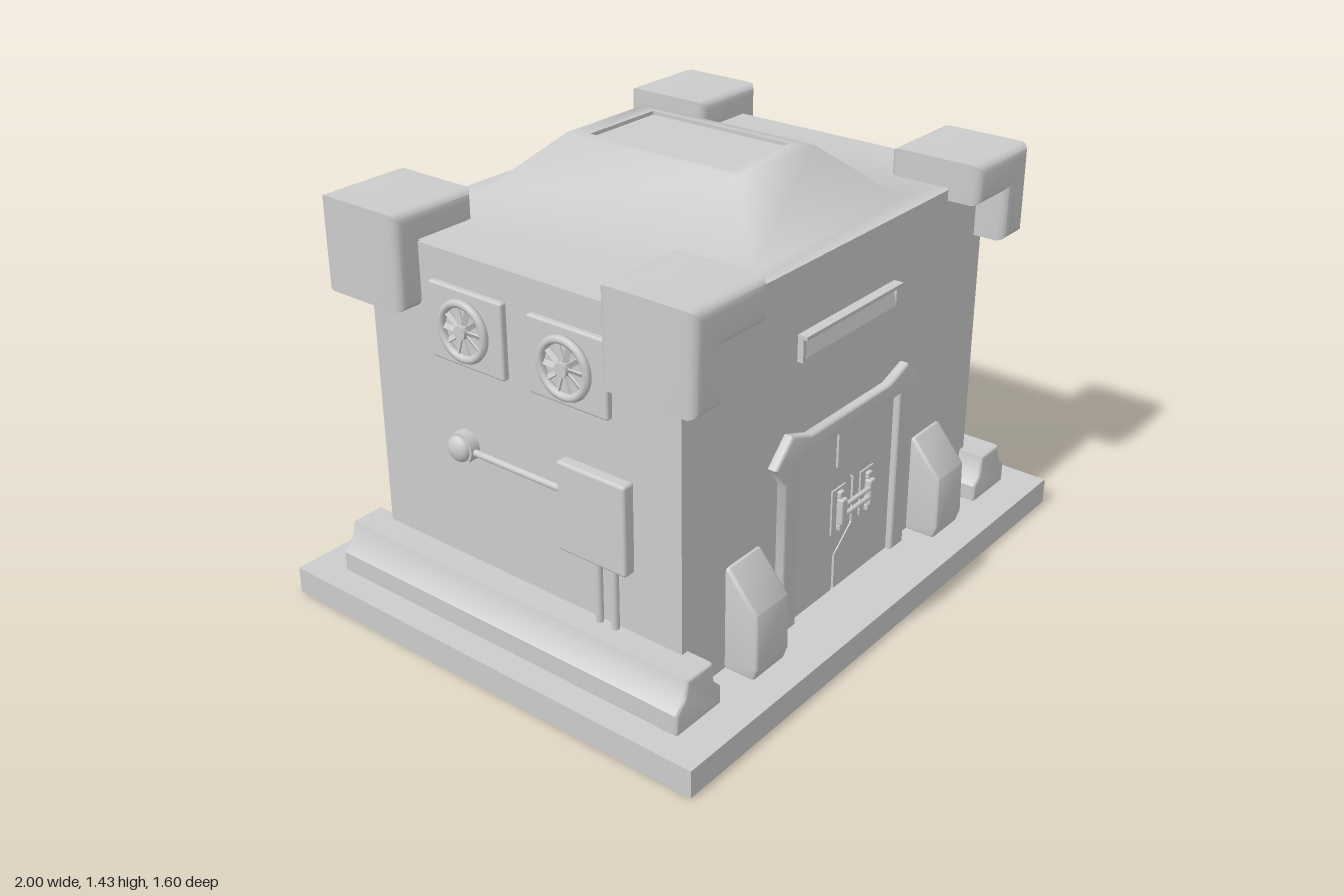
import * as THREE from 'three';
import { toCreasedNormals } from 'three/addons/utils/BufferGeometryUtils.js';
import { RoundedBoxGeometry } from 'three/addons/geometries/RoundedBoxGeometry.js';

const material = new THREE.MeshStandardMaterial({ color: 0xcccccc });

function add(parent, name, geometry, x = 0, y = 0, z = 0) {
  const mesh = new THREE.Mesh(geometry, material);
  mesh.name = name;
  mesh.position.set(x, y, z);
  parent.add(mesh);
  return mesh;
}
const box = (w, h, d) => new THREE.BoxGeometry(w, h, d);
const rounded = (w, h, d, r) => new RoundedBoxGeometry(w, h, d, 3, r);
const rod = (r, length) => new THREE.CylinderGeometry(r, r, length, 16);
const outline = pts => new THREE.Shape(pts.map(p => new THREE.Vector2(...p)));
const rect = (w, h) => [[-w / 2, -h / 2], [w / 2, -h / 2], [w / 2, h / 2], [-w / 2, h / 2]];

// Extrusion from z = 0 to depth whose bevel stays inside the outline
function slab(pts, depth, bevel = 0, hole = null) {
  const shape = outline(pts);
  if (hole) shape.holes.push(new THREE.Path(hole.map(p => new THREE.Vector2(...p))));
  const g = new THREE.ExtrudeGeometry(shape, {
    depth: depth - 2 * bevel, bevelEnabled: bevel > 0, bevelThickness: bevel,
    bevelSize: bevel, bevelOffset: -bevel, bevelSegments: 3,
  });
  g.translate(0, 0, bevel);
  return toCreasedNormals(g, 0.7);
}

// Smooth surface through stacked rectangles [halfX, halfZ, y]
function rectLoft(rings) {
  const pos = [], index = [];
  for (const [x, z, y] of rings) pos.push(-x, y, z, x, y, z, x, y, -z, -x, y, -z);
  for (let r = 0; r < rings.length - 1; r++) {
    for (let i = 0; i < 4; i++) {
      const a = r * 4 + i, b = r * 4 + (i + 1) % 4;
      index.push(a, b, b + 4, a, b + 4, a + 4);
    }
  }
  const g = new THREE.BufferGeometry();
  g.setAttribute('position', new THREE.Float32BufferAttribute(pos, 3));
  g.setIndex(index);
  g.computeVertexNormals();
  return g;
}

// Wall fittings are modelled facing +z with their back on z = 0
function fitting(parent, name, x, y, z, turn = 0) {
  const g = new THREE.Group();
  g.name = name;
  g.position.set(x, y, z);
  g.rotation.y = turn;
  parent.add(g);
  return g;
}

function fan(g) {
  add(g, 'fanPlate', rounded(0.29, 0.24, 0.025, 0.008), 0, 0, 0.012);
  add(g, 'fanRing', new THREE.TorusGeometry(0.085, 0.013, 8, 32), 0, 0, 0.035);
  add(g, 'fanHub', rod(0.022, 0.03), 0, 0, 0.035).rotation.x = Math.PI / 2;
  for (let i = 0; i < 10; i++) {
    const blade = add(g, 'fanBlade', box(0.065, 0.016, 0.005).translate(0.05, 0, 0), 0, 0, 0.034);
    blade.rotation.set(0.5, 0, i * Math.PI / 5, 'ZYX');
  }
}

function louvre(g) {
  add(g, 'ventFrame', slab(rect(0.295, 0.42), 0.016, 0, rect(0.272, 0.395)));
  for (let i = 0; i < 13; i++)
    add(g, 'ventSlat', box(0.272, 0.031, 0.004), 0, -0.18 + i * 0.03, 0.008).rotation.x = -0.4;
}

function slotWindow(g) {
  add(g, 'slotFrame', slab(rect(0.505, 0.085), 0.02, 0, rect(0.475, 0.06)));
  add(g, 'slotHood', box(0.505, 0.012, 0.033), 0, 0.0365, 0.0165);
  add(g, 'slotPane', box(0.475, 0.065, 0.006), 0, 0, 0.01).rotation.x = -0.25;
}

function handle(g) {
  for (const s of [-1, 1]) {
    add(g, 'handlePlate', box(0.072, 0.155, 0.006), s * 0.078, 0, 0.003);
    add(g, 'handleGrip', rounded(0.03, 0.09, 0.025, 0.006), s * 0.078, 0, 0.018);
    for (const t of [-1, 1])
      add(g, 'handleBolt', rounded(0.024, 0.024, 0.016, 0.005), s * 0.078, t * 0.057, 0.012);
  }
  for (const t of [-1, 1])
    add(g, 'handleBar', rod(0.008, 0.17), 0, t * 0.016, 0.022).rotation.z = Math.PI / 2;
}

export function createModel() {
  const model = new THREE.Group();
  model.name = 'bunker';

  // Slab, walls and raised roof
  add(model, 'baseSlab', box(2, 0.09, 1.6), 0, 0.045, 0);
  add(model, 'walls', box(1.55, 1.155, 1.18), 0, 0.6675, 0);
  add(model, 'roof', rectLoft([[0.775, 0.59, 1.25], [0.38, 0.52, 1.25], [0.185, 0.33, 1.43],
    [0.15, 0.265, 1.43]]));
  add(model, 'roofRecess', toCreasedNormals(rectLoft([[0.15, 0.265, 1.43], [0.15, 0.265, 1.418],
    [0, 0, 1.418]]), 0.5));

  for (const s of [-1, 1]) {
    const mirror = pts => pts.map(([x, y]) => [s * x, y]);
    // L-section corner caps
    const cap = slab(mirror([[0.545, 1.21], [0.73, 1.21], [0.73, 1.04], [0.855, 1.04],
      [0.855, 1.34], [0.545, 1.34]]), 0.325, 0.03);
    for (const z of [-0.7, 0.375]) add(model, 'cornerCap', cap, 0, 0, z);

    // Moulded kerbs along the sides
    add(model, 'sideKerb', slab(mirror([[0.71, 0.085], [0.71, 0.145], [0.74, 0.175], [0.75, 0.245],
      [0.86, 0.245], [0.875, 0.19], [0.91, 0.155], [0.91, 0.085]]), 1.36, 0.01), 0, 0, -0.68);

    // Sloped buttresses, front and back
    for (const t of [-1, 1]) {
      const g = slab([[0.57, 0.085], [0.69, 0.085], [0.705, 0.13], [0.7, 0.31], [0.6, 0.43],
        [0.57, 0.43]].map(([z, y]) => [t * z, y]), 0.16, 0.012);
      g.translate(0, 0, -0.08).rotateY(-Math.PI / 2);
      add(model, 'buttress', g, s * 0.497, 0, 0);
    }
  }

  // Front door: surround, two interlocking leaves and handle
  const front = fitting(model, 'frontDoor', 0, 0, 0.59);
  const half = [[0.27, 0.09], [0.34, 0.09], [0.34, 0.6], [0.39, 0.67], [0.31, 0.75], [0.21, 0.715]];
  const flip = pts => pts.map(([x, y]) => [-x, y]).reverse();
  add(front, 'doorSurround', slab([...half, ...flip(half), [-0.27, 0.655], [0.27, 0.655]], 0.035, 0.008));
  const seam = [[-0.04, 0.09], [-0.04, 0.215], [0.05, 0.29], [0.05, 0.455], [-0.04, 0.52], [-0.04, 0.66]];
  for (const s of [-1, 1])
    add(front, 'doorLeaf', slab([[s * 0.275, 0.09], ...seam.map(([x, y]) => [x + s * 0.006, y]),
      [s * 0.275, 0.66]], 0.012));
  handle(fitting(front, 'doorHandle', 0.048, 0.375, 0.012));

  // Slot windows over both doors
  slotWindow(fitting(model, 'frontSlotWindow', 0, 0.9975, 0.59));
  slotWindow(fitting(model, 'backSlotWindow', 0, 0.9, -0.59, Math.PI));

  // Left wall: louvred vents and a small lamp
  for (const z of [0.2775, -0.2325])
    louvre(fitting(model, 'louvredVent', 0.775, 0.61, z, Math.PI / 2));
  const lamp = fitting(model, 'wallLamp', 0.775, 1.128, 0.02, Math.PI / 2);
  add(lamp, 'lampPlate', box(0.165, 0.075, 0.008), 0, 0, 0.004);
  add(lamp, 'lampTube', rod(0.02, 0.08), 0, 0, 0.02).rotation.z = Math.PI / 2;
  for (const s of [-1, 1]) add(lamp, 'lampClip', box(0.014, 0.035, 0.02), s * 0.052, 0, 0.012);

  // Right wall: fans, gauge, switch box and conduits
  for (const z of [-0.175, 0.21])
    fan(fitting(model, 'wallFan', -0.775, 1.03, z, -Math.PI / 2));
  const meter = fitting(model, 'meter', -0.775, 0, 0, -Math.PI / 2);
  add(meter, 'switchBox', rounded(0.25, 0.29, 0.045, 0.01), 0.3, 0.595, 0.022);
  add(meter, 'gauge', rod(0.05, 0.035), -0.22, 0.64, 0.0175).rotation.x = Math.PI / 2;
  add(meter, 'gaugeDome', new THREE.SphereGeometry(0.042, 20, 12).scale(1, 1, 0.6), -0.22, 0.64, 0.035);
  add(meter, 'gaugePipe', rod(0.011, 0.4), -0.02, 0.635, 0.018).rotation.z = Math.PI / 2;
  for (const x of [0.3, 0.36]) add(meter, 'conduit', rod(0.012, 0.38), x, 0.28, 0.015);

  // Back wall: fan, junction boxes and conduit
  fan(fitting(model, 'backFan', 0.48, 1.04, -0.59, Math.PI));
  const boxes = fitting(model, 'junctionBoxes', 0, 0, -0.59, Math.PI);
  add(boxes, 'upperBox', rounded(0.165, 0.22, 0.03, 0.008), 0.53, 0.95, 0.015);
  add(boxes, 'lowerBox', rounded(0.24, 0.27, 0.035, 0.008), 0.56, 0.665, 0.017);
  for (const x of [0.5, 0.53]) add(boxes, 'conduit', rod(0.011, 0.8), x, 0.49, 0.014);

  // Back porch: rounded housing with barred double door
  const porch = fitting(model, 'backPorch', 0, 0, -0.57, Math.PI);
  add(porch, 'porchHousing', slab([[-0.345, 0.085], [-0.24, 0.085], [-0.24, 0.61], [0.24, 0.61],
    [0.24, 0.085], [0.345, 0.085], [0.345, 0.725], [-0.345, 0.725]], 0.185, 0.03));
  add(porch, 'porchBackPanel', box(0.5, 0.54, 0.02), 0, 0.35, 0.1);
  for (const s of [-1, 1]) {
    add(porch, 'gateLeaf', slab(rect(0.222, 0.51), 0.025, 0, rect(0.172, 0.45)), s * 0.115, 0.345, 0.135);
    add(porch, 'gateUpright', box(0.012, 0.46, 0.012), s * 0.115, 0.345, 0.142);
    for (let i = 0; i < 7; i++)
      add(porch, 'gateBar', box(0.18, 0.016, 0.014), s * 0.115, 0.165 + i * 0.06, 0.148);
  }
  const gateHandle = fitting(porch, 'gateHandle', 0.01, 0.38, 0.16);
  gateHandle.scale.set(0.65, 1, 1.4);
  handle(gateHandle);

  return model;
}
